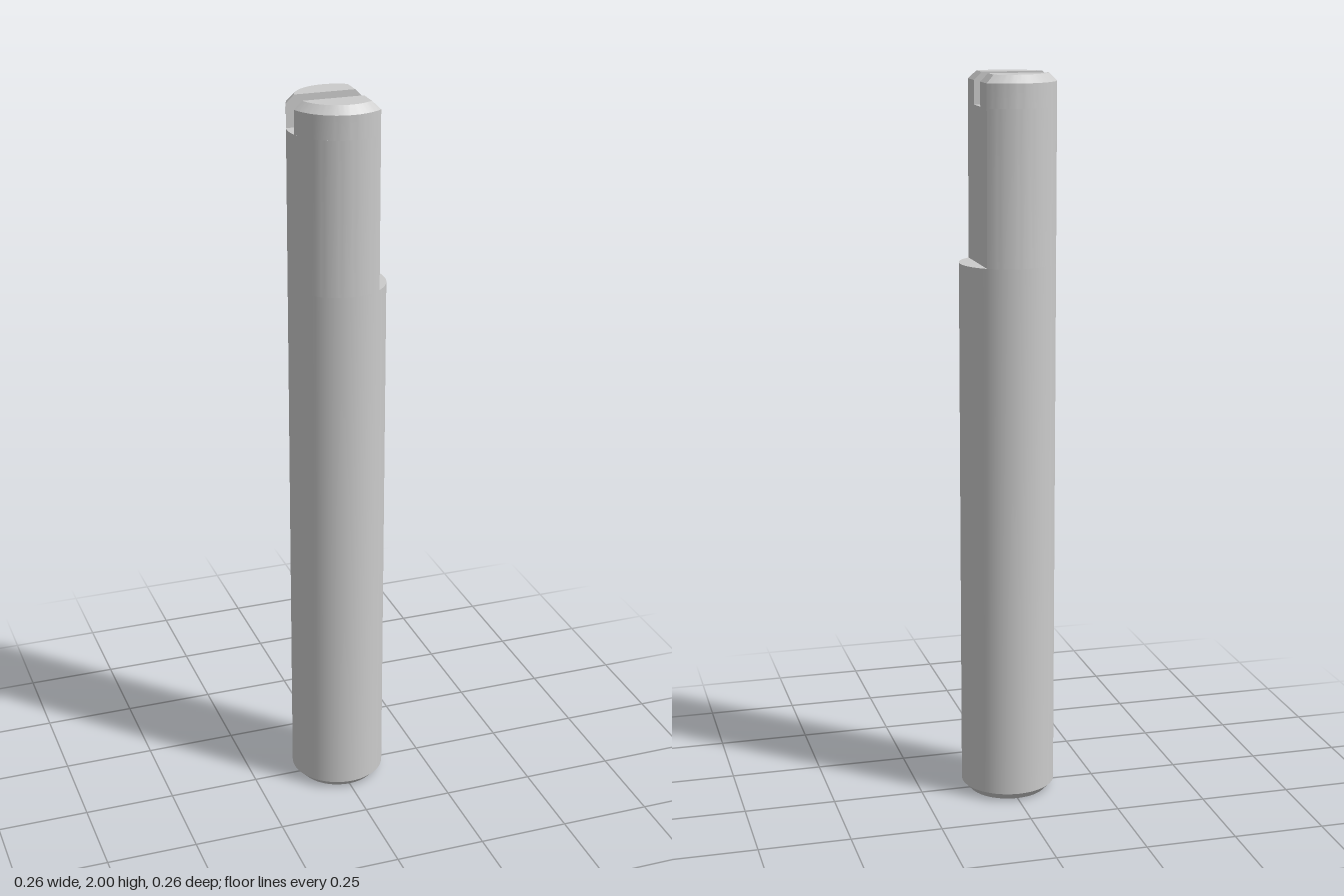
import * as THREE from 'three';
import { toCreasedNormals } from 'three/addons/utils/BufferGeometryUtils.js';

const R = 0.13, FLAT = 0.082, CHAMFER = 0.021, SLOT = 0.033;
const LEDGE_Y = 1.5, SLOT_Y = 1.915, TOP = 2;

// Points [x, z] on a circle from angle a to angle b
function arc(r, a, b, n) {
  return Array.from({ length: n + 1 }, (_, i) => {
    const t = a + (b - a) * i / n;
    return [r * Math.cos(t), r * Math.sin(t)];
  });
}

// Skin a stack of closed convex outlines, with optional end caps
function loft(name, levels, { bottom = false, top = false } = {}) {
  const pos = [];
  const tri = (...corners) => corners.forEach(([p, y]) => pos.push(p[0], y, p[1]));
  for (let k = 0; k + 1 < levels.length; k++) {
    const [lo, y0] = levels[k], [hi, y1] = levels[k + 1];
    lo.forEach((p, i) => {
      const j = (i + 1) % lo.length;
      tri([p, y0], [hi[i], y1], [lo[j], y0]);
      tri([hi[i], y1], [hi[j], y1], [lo[j], y0]);
    });
  }
  const fan = ([o, y], up) => {
    for (let i = 1; i + 1 < o.length; i++) {
      tri([o[0], y], [o[up ? i + 1 : i], y], [o[up ? i : i + 1], y]);
    }
  };
  if (bottom) fan(levels[0], false);
  if (top) fan(levels[levels.length - 1], true);
  const geo = new THREE.BufferGeometry();
  geo.setAttribute('position', new THREE.Float32BufferAttribute(pos, 3));
  const mesh = new THREE.Mesh(toCreasedNormals(geo, Math.PI / 6),
    new THREE.MeshStandardMaterial({ color: 0xcccccc }));
  mesh.name = name;
  return mesh;
}

// Half of the flatted section on one side of the slot, shrunk by an inset
function lugOutline(inset, side) {
  const r = R - inset, x = FLAT - inset;
  const pts = arc(r, Math.acos(x / r), Math.PI - Math.asin(SLOT / r), 32);
  pts.push([x, SLOT]);
  return side > 0 ? pts : pts.map(([px, pz]) => [px, -pz]).reverse();
}

export function createModel() {
  const group = new THREE.Group();
  group.name = 'slottedPin';
  const flatAngle = Math.acos(FLAT / R);
  const slotAngle = Math.asin(SLOT / R);

  // Round shaft with chamfered foot
  const circle = r => arc(r, 0, 2 * Math.PI, 72).slice(0, -1);
  group.add(loft('shaft',
    [[circle(R - CHAMFER), 0], [circle(R), 0.022], [circle(R), LEDGE_Y]], { bottom: true }));

  // Ledge where the flat starts
  group.add(loft('ledge', [[arc(R, -flatAngle, flatAngle, 24), LEDGE_Y]], { top: true }));

  // Upper section with one side cut flat
  const dShape = arc(R, flatAngle, 2 * Math.PI - flatAngle, 64);
  group.add(loft('flattedSection', [[dShape, LEDGE_Y], [dShape, SLOT_Y]]));

  // Floor of the slot across the top
  const floor = [[FLAT, -SLOT], [FLAT, SLOT],
    ...arc(R, Math.PI - slotAngle, Math.PI + slotAngle, 8)];
  group.add(loft('slotFloor', [[floor, SLOT_Y]], { top: true }));

  // Chamfered lugs either side of the slot
  for (const side of [1, -1]) {
    group.add(loft(side > 0 ? 'frontLug' : 'backLug', [
      [lugOutline(0, side), SLOT_Y],
      [lugOutline(0, side), TOP - CHAMFER],
      [lugOutline(CHAMFER, side), TOP],
    ], { top: true }));
  }
  return group;
}
